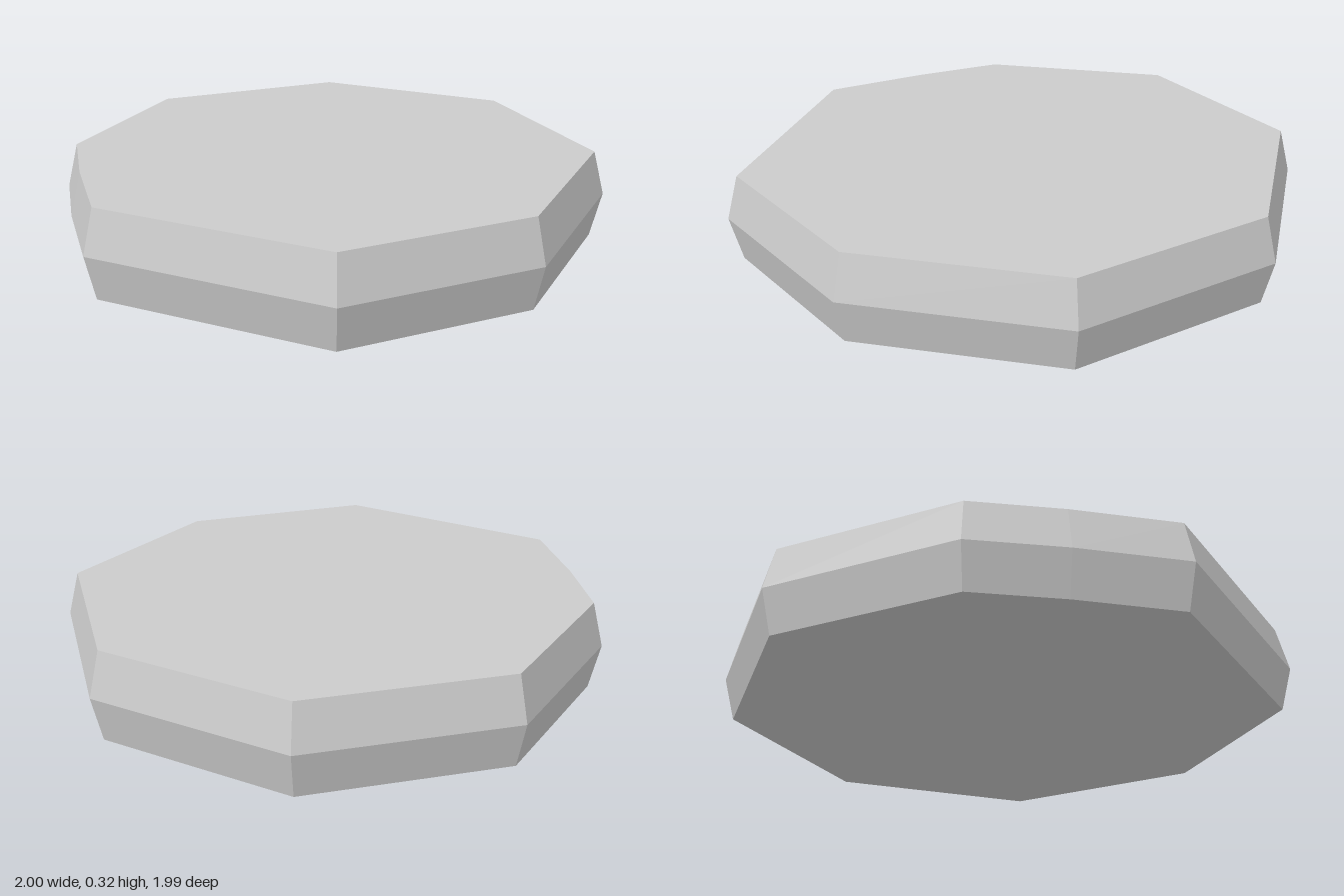
import * as THREE from 'three';

// Widest outline as [x, z], running from the front round by the left side
const outline = [
  [0.026, 0.993], [0.727, 0.682], [0.997, -0.05], [0.69, -0.75], [-0.015, -0.997],
  [-0.655, -0.686], [-0.826, -0.393], [-1, -0.04], [-0.67, 0.793],
];
const height = 0.316;
const rimScale = 0.96; // top and bottom outlines are slightly smaller

export function createModel() {
  const group = new THREE.Group();
  group.name = 'stoneSlab';

  // Nine-sided cylinder with a middle ring, pulled onto the irregular outline
  const n = outline.length;
  const geometry = new THREE.CylinderGeometry(1, 1, height, n, 2);
  const pos = geometry.attributes.position;
  for (let i = 0; i < pos.count; i++) {
    const x = pos.getX(i), y = pos.getY(i), z = pos.getZ(i);
    if (Math.hypot(x, z) < 0.5) continue; // cap centres stay put
    const k = (Math.round(Math.atan2(x, z) / (2 * Math.PI) * n) + n) % n;
    const s = Math.abs(y) > 0.01 ? rimScale : 1;
    pos.setXYZ(i, outline[k][0] * s, y, outline[k][1] * s);
  }
  geometry.translate(0, height / 2, 0);
  geometry.computeVertexNormals();

  const material = new THREE.MeshStandardMaterial({ color: 0xcccccc, flatShading: true });
  const slab = new THREE.Mesh(geometry, material);
  slab.name = 'slab';
  group.add(slab);
  return group;
}
